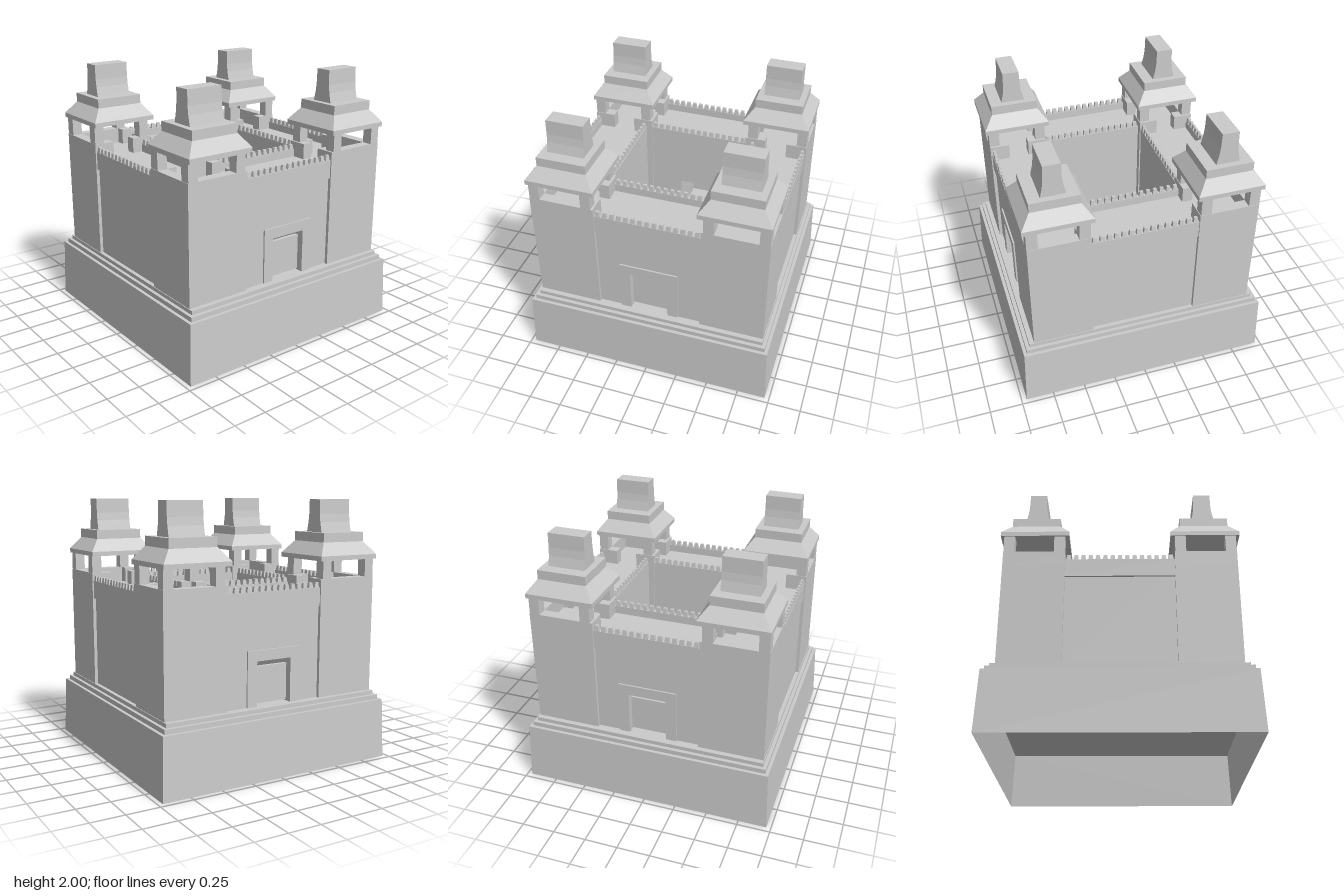
import * as THREE from 'three';
import { mergeGeometries } from 'three/addons/utils/BufferGeometryUtils.js';

const grey = new THREE.MeshStandardMaterial({ color: 0xcccccc, flatShading: true });
const greyThin = new THREE.MeshStandardMaterial({ color: 0xcccccc, flatShading: true, side: THREE.DoubleSide });

const DECK = 1.3, PARAPET = 1.36, FLOOR = 0.525;

function add(parent, name, geometry, material = grey) {
  const mesh = new THREE.Mesh(geometry, material);
  mesh.name = name;
  parent.add(mesh);
  return mesh;
}

// Box given by its extents on each axis
function block(x0, x1, y0, y1, z0, z1) {
  return new THREE.BoxGeometry(x1 - x0, y1 - y0, z1 - z0)
    .translate((x0 + x1) / 2, (y0 + y1) / 2, (z0 + z1) / 2);
}

// Box whose top is scaled to a different size, standing on y0
function taper(w, d, topW, topD, y0, y1) {
  const g = new THREE.BoxGeometry(w, y1 - y0, d);
  const p = g.attributes.position;
  for (let i = 0; i < p.count; i++) {
    if (p.getY(i) > 0) p.setXYZ(i, p.getX(i) * topW / w, p.getY(i), p.getZ(i) * topD / d);
  }
  g.computeVertexNormals();
  return g.translate(0, (y0 + y1) / 2, 0);
}

// Row of small tapered teeth along x
function battlements(z) {
  const count = 15, pitch = 0.8 / count, teeth = [];
  for (let i = 0; i < count; i++) {
    teeth.push(taper(0.038, 0.028, 0.026, 0.02, PARAPET, 1.4)
      .translate((i - (count - 1) / 2) * pitch, 0, z));
  }
  return mergeGeometries(teeth);
}

// Wall range between two towers, built facing +z with its outer face at z = out
function wing(out, hasDoor) {
  const g = new THREE.Group();
  const inner = out - 0.435, panel = out - 0.015;
  const outline = new THREE.Shape();
  outline.moveTo(-0.4, FLOOR);
  if (hasDoor) {
    outline.lineTo(-0.145, FLOOR).lineTo(-0.145, 0.86).lineTo(0.145, 0.86).lineTo(0.145, FLOOR);
  }
  outline.lineTo(0.4, FLOOR).lineTo(0.4, DECK).lineTo(-0.4, DECK).closePath();
  add(g, 'wingBody', new THREE.ExtrudeGeometry(outline, { depth: panel - inner, bevelEnabled: false })
    .translate(0, 0, inner));
  add(g, 'outerParapet', block(-0.4, 0.4, 1.22, PARAPET, out - 0.032, out));
  add(g, 'innerParapet', block(-0.4, 0.4, DECK - 0.02, PARAPET, inner - 0.002, inner + 0.03));
  add(g, 'outerBattlements', battlements(out - 0.016));
  add(g, 'innerBattlements', battlements(inner + 0.015));
  if (hasDoor) {
    const frame = new THREE.Shape();
    frame.moveTo(-0.225, FLOOR).lineTo(-0.145, FLOOR).lineTo(-0.145, 0.86).lineTo(0.145, 0.86)
      .lineTo(0.145, FLOOR).lineTo(0.225, FLOOR).lineTo(0.225, 0.94).lineTo(-0.225, 0.94).closePath();
    add(g, 'doorFrame', new THREE.ExtrudeGeometry(frame, { depth: 0.014, bevelEnabled: false })
      .translate(0, 0, panel - 0.002));
    add(g, 'doorPanel', block(-0.145, 0.145, 0.535, 0.81, out - 0.085, out - 0.055));
  }
  return g;
}

// Corner tower; sx and sz choose the quadrant
function tower(sx, sz) {
  const g = new THREE.Group();
  const X0 = 0.4, X1 = 0.895, Z0 = 0.4, Z1 = 0.855, T = 0.08;
  const part = (name, x0, x1, y0, y1, z0, z1) => add(g, name, block(
    Math.min(sx * x0, sx * x1), Math.max(sx * x0, sx * x1), y0, y1,
    Math.min(sz * z0, sz * z1), Math.max(sz * z0, sz * z1)));

  part('towerBody', X0, X1, 0.495, DECK, Z0, Z1);
  // Full walls on the outside, stubs beside a gap on the deck sides
  part('outerWallX', X1 - T, X1, DECK, 1.42, Z0, Z1);
  part('outerWallZ', X0, X1 - T, DECK, 1.42, Z1 - T, Z1);
  part('stubX', X0, X0 + T, DECK, 1.42, Z0, Z0 + 0.15);
  part('stubX', X0, X0 + T, DECK, 1.42, Z1 - 0.15, Z1 - T);
  part('stubZ', X0 + T, X0 + 0.16, DECK, 1.42, Z0, Z0 + T);
  part('stubZ', X1 - 0.16, X1 - T, DECK, 1.42, Z0, Z0 + T);
  // Corner posts carrying the roof
  for (const x of [X0 + 0.018, X1 - T]) {
    for (const z of [Z0 + 0.005, Z1 - T]) part('post', x, x + T - 0.003, 1.42, 1.56, z, z + T);
  }

  const roof = new THREE.Group();
  roof.name = 'towerRoof';
  roof.position.set(sx * 0.64, 0, sz * 0.628);
  add(roof, 'eave', taper(0.52, 0.506, 0.52, 0.506, 1.555, 1.59));
  add(roof, 'roofSlope', taper(0.52, 0.506, 0.374, 0.36, 1.59, 1.685));
  add(roof, 'roofCap', taper(0.374, 0.36, 0.374, 0.36, 1.685, 1.755));
  // Crest with a flared foot, extruded across x
  const side = new THREE.Shape();
  side.moveTo(-0.09, 1.755).lineTo(0.09, 1.755).lineTo(0.073, 1.83).lineTo(0.066, 1.89).lineTo(0.063, 2)
    .lineTo(-0.063, 2).lineTo(-0.066, 1.89).lineTo(-0.073, 1.83).closePath();
  add(roof, 'roofCrest', new THREE.ExtrudeGeometry(side, { depth: 0.28, bevelEnabled: false })
    .translate(0, 0, -0.14).rotateY(Math.PI / 2));
  g.add(roof);
  return g;
}

export function createModel() {
  const model = new THREE.Group();
  model.name = 'fortress';

  // Hollow sloping plinth, open underneath, with steps on top
  const r = Math.SQRT2;
  add(model, 'plinth', new THREE.CylinderGeometry(r * 0.95, r * 0.965, 0.46, 4, 1, true)
    .rotateY(Math.PI / 4).scale(1, 1, 0.995).translate(0, 0.23, 0), greyThin);
  add(model, 'plinthTop', block(-0.95, 0.95, 0.45, 0.46, -0.945, 0.945));
  add(model, 'lowerStep', block(-0.925, 0.925, 0.46, 0.495, -0.92, 0.92));
  add(model, 'upperStep', block(-0.9, 0.9, 0.495, FLOOR, -0.892, 0.892));

  // Four wall ranges around the courtyard, gates at front and back
  for (let i = 0; i < 4; i++) {
    const gate = i % 2 === 0;
    const w = wing(gate ? 0.845 : 0.885, gate);
    w.name = ['frontWing', 'leftWing', 'backWing', 'rightWing'][i];
    w.rotation.y = i * Math.PI / 2;
    model.add(w);
  }

  for (const sx of [-1, 1]) {
    for (const sz of [-1, 1]) {
      const t = tower(sx, sz);
      t.name = (sz > 0 ? 'front' : 'back') + (sx > 0 ? 'Left' : 'Right') + 'Tower';
      model.add(t);
    }
  }
  return model;
}
